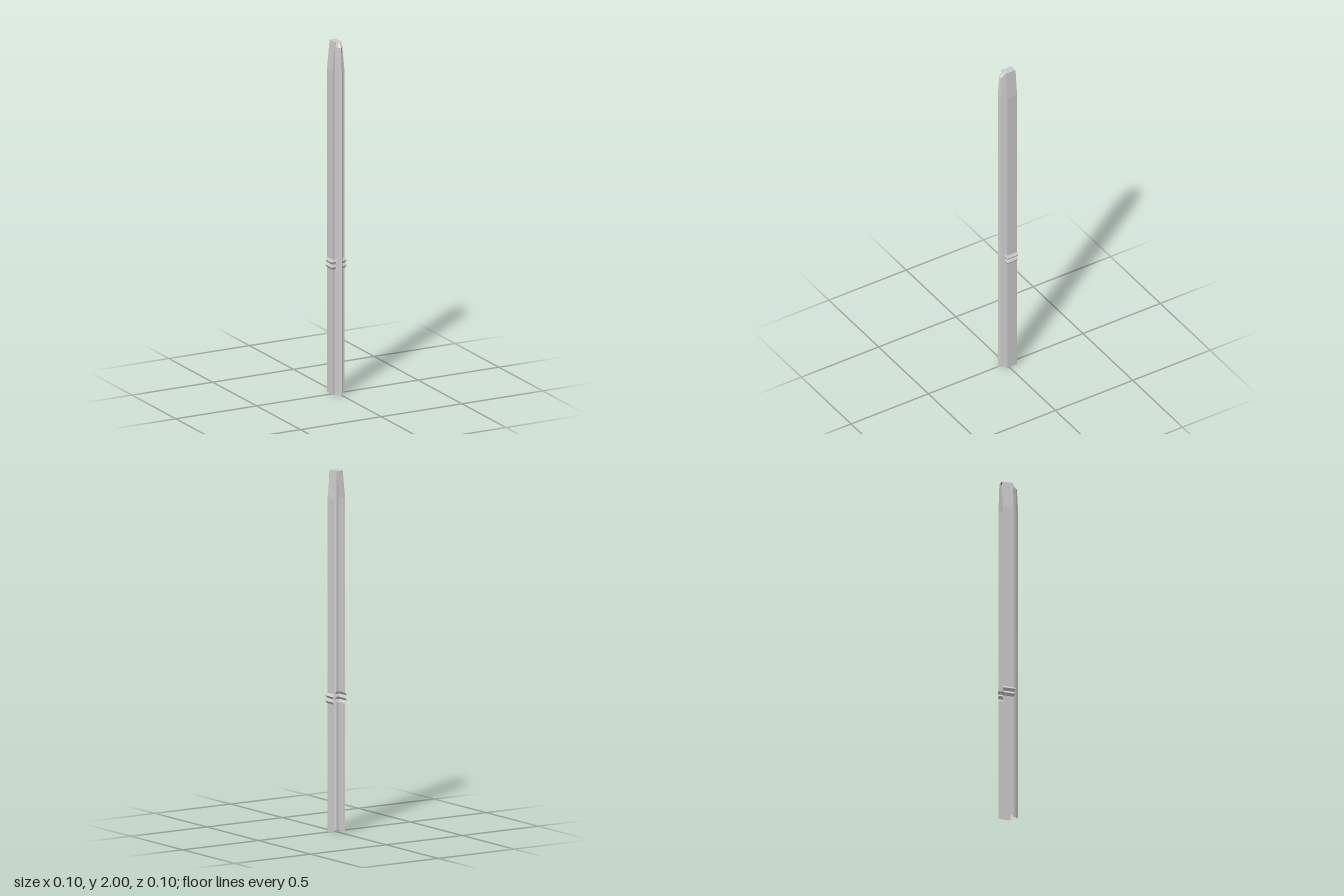
import * as THREE from 'three';

const BACK = -0.05, FACE = 0.013;

// Half cross-section: back edge, front corner, ridge base, ridge shoulder, ridge tip
function section(y, o = {}) {
  const { x = 0.037, z = FACE, base = 0.021, shoulder = [0.011, 0.036], tip = 0.051 } = o;
  const half = [[x, BACK], [x, z], [base, z], shoulder];
  const mirrored = half.map(([px, pz]) => [-px, pz]).reverse();
  return [...half, [0, tip], ...mirrored].map(([px, pz]) => [px, y, pz]);
}

// Join successive open cross-sections into one faceted sheet
function loft(sections) {
  const n = sections[0].length, index = [];
  for (let i = 0; i < sections.length - 1; i++) {
    for (let j = 0; j < n - 1; j++) {
      const a = i * n + j, b = a + 1, c = a + n, d = c + 1;
      index.push(a, c, b, b, c, d);
    }
  }
  const g = new THREE.BufferGeometry();
  g.setAttribute('position', new THREE.Float32BufferAttribute(sections.flat(2), 3));
  g.setIndex(index);
  const flat = g.toNonIndexed();
  flat.computeVertexNormals();
  return flat;
}

export function createModel() {
  const group = new THREE.Group();
  group.name = 'post';
  const material = new THREE.MeshStandardMaterial({
    color: 0xcccccc, flatShading: true, side: THREE.DoubleSide,
  });

  const sections = [section(0)];

  // Two pressed ribs running round the sides and front flanges
  const ribStart = 0.71, ribStep = 0.0145;
  for (let k = 0; k <= 4; k++) {
    const bulge = k % 2 ? { x: 0.048, z: 0.02, base: 0.018 } : {};
    sections.push(section(ribStart + k * ribStep, bulge));
  }

  // Tapered head, with the ridge cut back to the flat top
  sections.push(
    section(1.84),
    section(1.975, { x: 0.0235, shoulder: [0.011, 0.034], tip: 0.043 }),
    section(2, { x: 0.021, shoulder: [0.011, FACE], tip: FACE }),
  );

  const shell = new THREE.Mesh(loft(sections), material);
  shell.name = 'postShell';

  // Flat cap closing the top; back and bottom stay open
  const cap = new THREE.Mesh(new THREE.PlaneGeometry(0.042, FACE - BACK), material);
  cap.name = 'topCap';
  cap.rotation.x = -Math.PI / 2;
  cap.position.set(0, 2, (FACE + BACK) / 2);

  group.add(shell, cap);
  return group;
}
